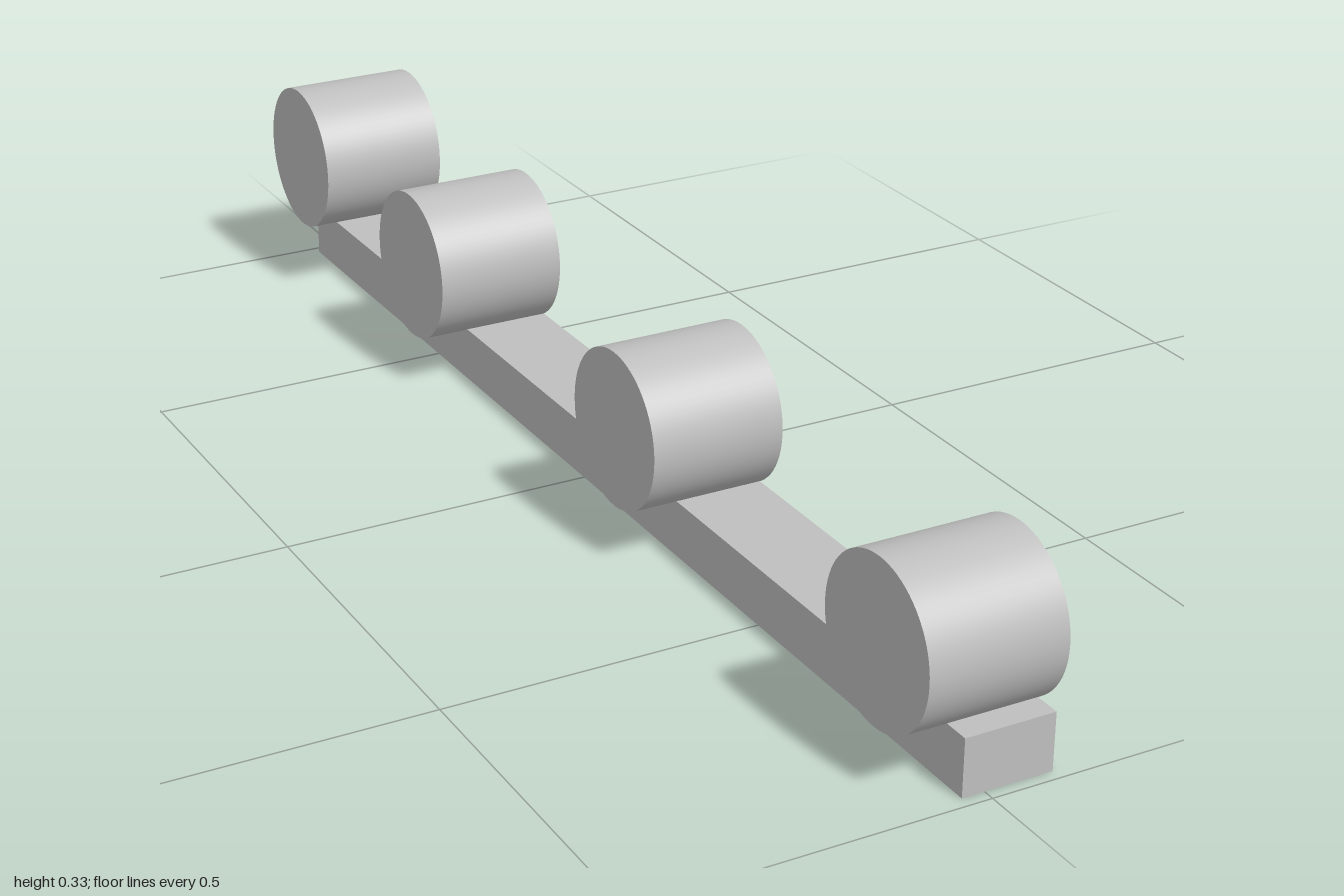
import * as THREE from 'three';
import { toCreasedNormals } from 'three/addons/utils/BufferGeometryUtils.js';

export function createModel() {
  const model = new THREE.Group();
  model.name = 'rollerRail';
  const grey = new THREE.MeshStandardMaterial({ color: 0xbfbfbf });
  grey.name = 'plainGrey';

  // Base bar, flush with the open faces of the rollers
  const bar = new THREE.Mesh(new THREE.BoxGeometry(0.133, 0.084, 1.966), grey);
  bar.name = 'baseBar';
  bar.position.set(0.0335, 0.042, 0);
  model.add(bar);

  // Roller: solid cylinder with a blind bore in its +x face
  const radius = 0.116, bore = 0.056, half = 0.1, boreEnd = -0.033;
  const profile = [
    [0, -half], [radius, -half], [radius, half],
    [bore, half], [bore, boreEnd], [0, boreEnd],
  ].map(([r, y]) => new THREE.Vector2(r, y));
  const rollerGeometry = toCreasedNormals(new THREE.LatheGeometry(profile, 72), Math.PI / 6);
  rollerGeometry.rotateZ(-Math.PI / 2);

  // Three rollers sunk into the bar, and a raised one at the back
  const rollers = [
    ['frontRoller', 0.184, 0.884],
    ['middleRoller', 0.184, 0.217],
    ['rearRoller', 0.184, -0.45],
    ['raisedRoller', 0.217, -0.884],
  ];
  for (const [name, y, z] of rollers) {
    const roller = new THREE.Mesh(rollerGeometry, grey);
    roller.name = name;
    roller.position.set(0, y, z);
    model.add(roller);
  }
  return model;
}
